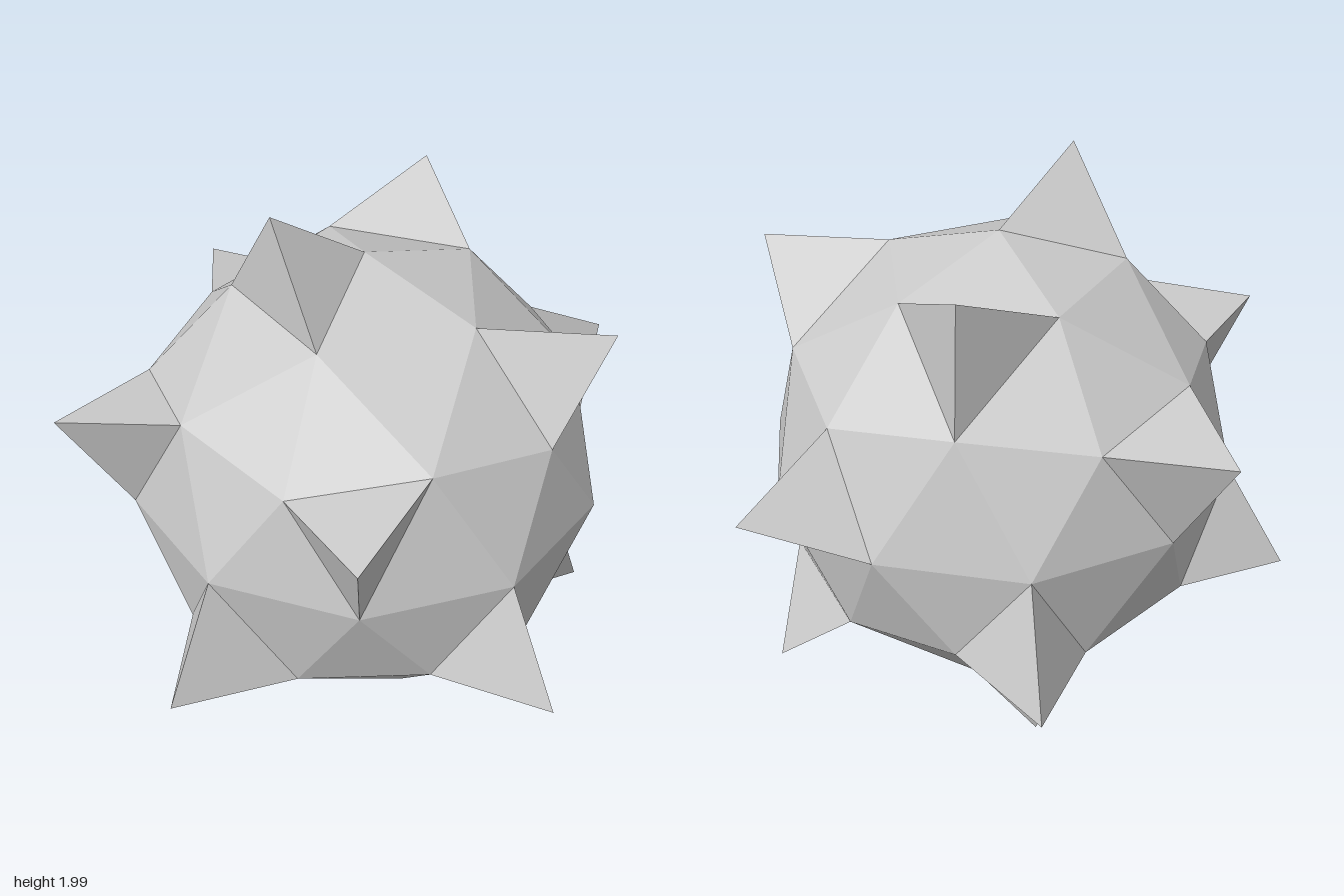
import * as THREE from 'three';

const RADIUS = 0.77;
const CENTRE = new THREE.Vector3(-0.05, 1.02, 0);

// Approximate spike tips; each spike rises square from the facet below its tip
const TIPS = [
  [-0.36, 2.0, 0], [0.46, 1.83, -0.36], [0.36, 1.68, 0.68],
  [-0.98, 1.36, -0.31], [-0.63, 1.36, 0.79], [-0.04, 1.36, -0.98],
  [0.98, 1.17, 0], [-0.98, 0.65, 0.3], [-0.05, 0.65, 0.98],
  [-0.62, 0.65, -0.79], [0.53, 0.65, -0.79], [0.68, 0.33, 0.31],
  [0.045, 0, -0.3],
];

function trianglesToGeometry(triangles) {
  const geometry = new THREE.BufferGeometry().setFromPoints(triangles.flat());
  geometry.computeVertexNormals();
  return geometry;
}

// Facets of a once-divided icosahedron with a corner at each pole
function ballFacets() {
  const ball = new THREE.IcosahedronGeometry(RADIUS, 1);
  ball.rotateZ(-Math.atan(2 / (1 + Math.sqrt(5))));
  const position = ball.attributes.position;
  const facets = [];
  for (let i = 0; i < position.count; i += 3) {
    facets.push([0, 1, 2].map((k) => new THREE.Vector3().fromBufferAttribute(position, i + k)));
  }
  return facets;
}

export function createModel() {
  const model = new THREE.Group();
  model.name = 'spikedBall';
  const material = new THREE.MeshStandardMaterial({ color: 0xcccccc, flatShading: true });
  const facets = ballFacets();
  const used = new Set();

  const add = (triangles, name) => {
    const mesh = new THREE.Mesh(trianglesToGeometry(triangles), material);
    mesh.name = name;
    mesh.position.copy(CENTRE);
    model.add(mesh);
  };

  // Spikes: three-sided pyramids standing on single facets
  TIPS.forEach((point, index) => {
    const target = new THREE.Vector3(...point).sub(CENTRE);
    const direction = target.clone().normalize();
    let best = null;
    for (const facet of facets) {
      const triangle = new THREE.Triangle(...facet);
      const middle = triangle.getMidpoint(new THREE.Vector3());
      const score = middle.clone().normalize().dot(direction);
      if (!best || score > best.score) best = { facet, triangle, middle, score };
    }
    const normal = best.triangle.getNormal(new THREE.Vector3());
    const height = target.clone().sub(best.middle).dot(normal);
    const tip = best.middle.clone().addScaledVector(normal, height);
    const [a, b, c] = best.facet;
    add([[a, b, tip], [b, c, tip], [c, a, tip]], `spike${index + 1}`);
    used.add(best.facet);
  });

  // Body: the facets that carry no spike
  add(facets.filter((facet) => !used.has(facet)), 'body');
  return model;
}
